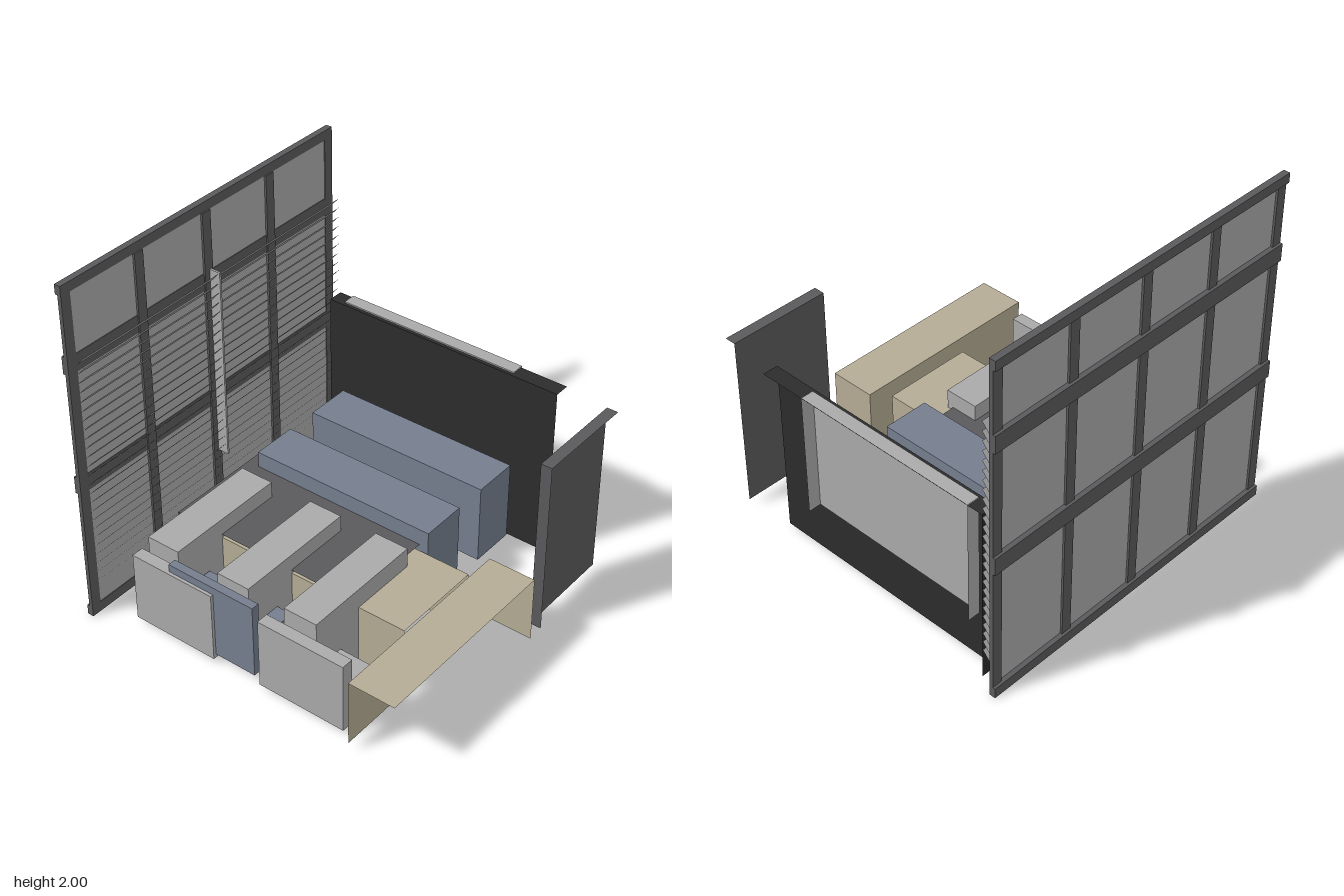
import * as THREE from 'three';

const mat = (name, color) => {
  const m = new THREE.MeshStandardMaterial({ color, side: THREE.DoubleSide });
  m.name = name;
  return m;
};

export function createModel() {
  const group = new THREE.Group();
  const lightGrey = mat('lightGrey', 0xaaaaaa);
  const darkGrey = mat('darkGrey', 0x5a5a5d);
  const black = mat('black', 0x2c2c2c);
  const beige = mat('beige', 0xb5ac95);
  const blue = mat('blue', 0x757e8f);

  const SIDES = ['px', 'nx', 'py', 'ny', 'pz', 'nz'];
  // Box between two limits on each axis, keeping only the listed sides
  const box = (name, material, [x0, x1], [y0, y1], [z0, z1], sides = SIDES, parent = group) => {
    const geo = new THREE.BoxGeometry(x1 - x0, y1 - y0, z1 - z0);
    const all = Array.from(geo.index.array);
    geo.setIndex(sides.flatMap((s) => all.slice(SIDES.indexOf(s) * 6, SIDES.indexOf(s) * 6 + 6)));
    geo.clearGroups();
    const mesh = new THREE.Mesh(geo, material);
    mesh.name = name;
    mesh.position.set((x0 + x1) / 2, (y0 + y1) / 2, (z0 + z1) / 2);
    parent.add(mesh);
    return mesh;
  };
  const noBottom = ['px', 'nx', 'py', 'pz', 'nz'];

  // Window wall: pane, rails, stiles and mullions
  const win = new THREE.Group();
  win.name = 'windowWall';
  group.add(win);
  box('pane', lightGrey, [-0.948, -0.942], [0.01, 1.99], [-0.99, 0.99], SIDES, win);
  for (const [a, b] of [[0, 0.06], [0.79, 0.89], [1.5, 1.6], [1.945, 2]])
    box('rail', darkGrey, [-0.975, -0.938], [a, b], [-1, 1], SIDES, win);
  for (const z of [-0.97, 0.97])
    box('stile', darkGrey, [-0.96, -0.938], [0, 2], [z - 0.03, z + 0.03], SIDES, win);
  for (const z of [-0.485, 0, 0.485])
    box('mullion', darkGrey, [-0.96, -0.93], [0.05, 1.945], [z - 0.03, z + 0.03], SIDES, win);

  // Blinds: tilted thin slats and a hanging cord strip
  const blinds = new THREE.Group();
  blinds.name = 'blinds';
  group.add(blinds);
  const slat = new THREE.PlaneGeometry(0.076, 1.935);
  slat.rotateX(-Math.PI / 2);
  slat.rotateZ(Math.atan2(0.057, 0.05));
  for (let i = 0; i < 26; i++) {
    const m = new THREE.Mesh(slat, lightGrey);
    m.name = 'slat';
    m.position.set(-0.895, 1.582 - i * 0.0553, -0.005);
    blinds.add(m);
  }
  box('cord', lightGrey, [-0.93, -0.865], [0.49, 1.615], [-0.016, -0.004], SIDES, blinds);

  // Back board, open behind, with a pale recessed shell
  box('backBoard', black, [-0.845, 0.625], [0.015, 1.045], [-0.95, -0.86], ['nx', 'py', 'pz']);
  box('backBoardShell', lightGrey, [-0.76, 0.345], [0.33, 1.053], [-0.955, -0.88], ['px', 'nx', 'py', 'pz']);

  // Standing side panel
  box('sidePanel', darkGrey, [0.895, 0.96], [0.04, 1.06], [-0.9, -0.305], ['nx', 'py', 'pz']);

  // Open shells of the long side counter and the centre units
  box('sideCounter', beige, [0.7, 0.97], [0.052, 0.44], [-0.197, 0.953], ['nx', 'py', 'nz']);
  box('centreCabinet', beige, [-0.73, 0.655], [0.03, 0.39], [-0.08, 0.455], ['nx', 'py', 'pz', 'nz']);
  box('centreTable', darkGrey, [-0.81, 0.335], [0.045, 0.41], [-0.207, 0.457], ['nx', 'py', 'nz']);

  // Two long benches
  for (const z of [[-0.83, -0.56], [-0.37, -0.1]])
    box('bench', blue, [-0.735, 0.388], [0.035, 0.505], z, noBottom);

  // Three narrow tables
  for (const x of [-0.61, -0.15, 0.275])
    box('narrowTable', lightGrey, [x - 0.1, x + 0.1], [0.03, 0.505], [0.058, 0.785], noBottom);

  // Three chairs, each a tall front board and a low seat
  const chair = (material, x, y0, seatY, topY, zBack, zMid, zFront) => {
    const g = new THREE.Group();
    g.name = 'chair';
    group.add(g);
    box('chairBoard', material, x, [y0, topY], [zMid, zFront], noBottom, g);
    box('chairSeat', material, x, [y0, seatY], [zBack, zMid], ['px', 'nx', 'py', 'nz'], g);
  };
  chair(lightGrey, [-0.73, -0.21], 0.03, 0.22, 0.44, 0.6, 0.815, 0.885);
  chair(lightGrey, [0.09, 0.615], 0.03, 0.22, 0.44, 0.6, 0.815, 0.885);
  chair(blue, [-0.5, 0.043], 0.05, 0.25, 0.485, 0.573, 0.82, 0.867);

  return group;
}
